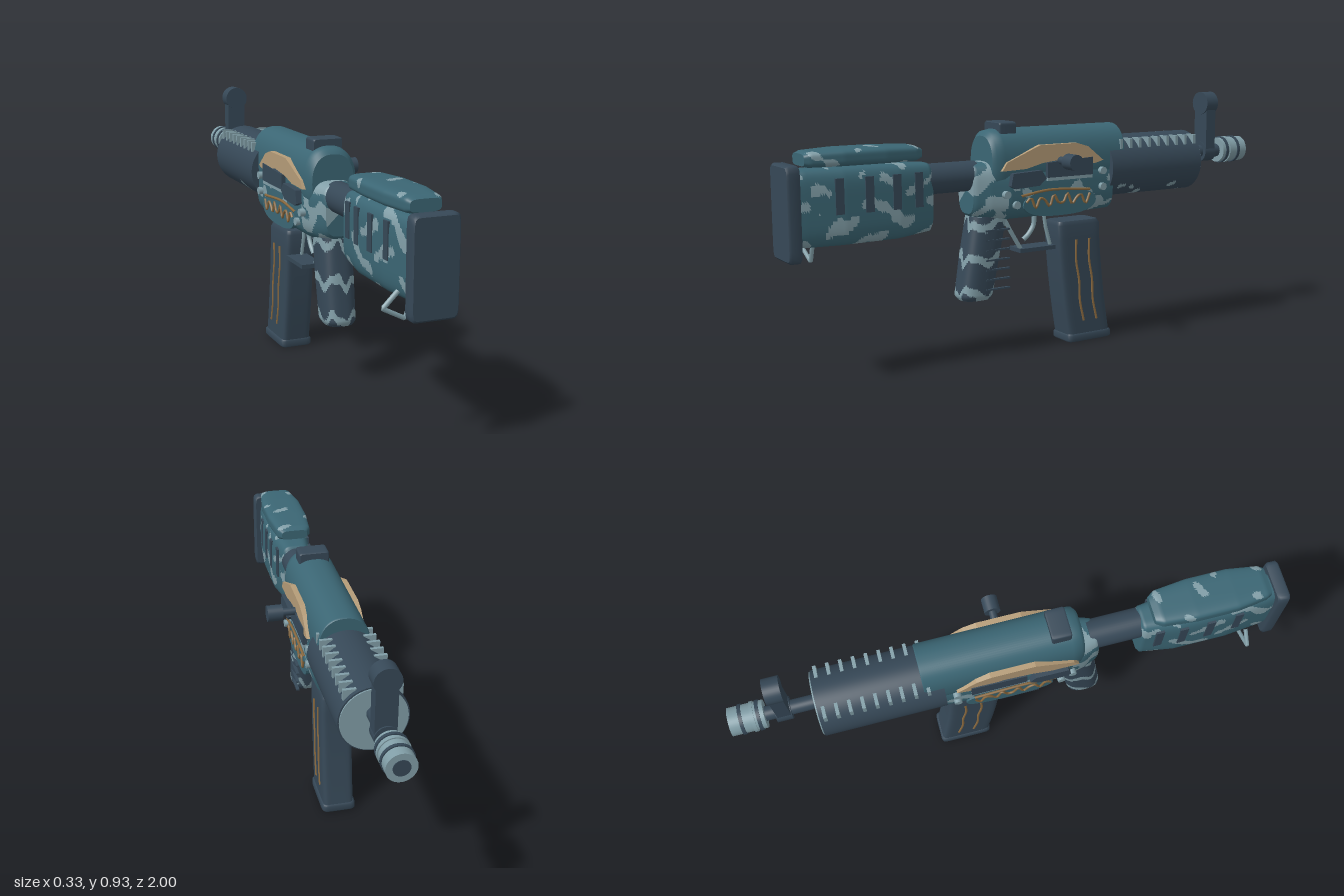
import * as THREE from 'three';

const CX = -0.043; // centre line of the body
const make = (name, color) => {
  const m = new THREE.MeshStandardMaterial({ color });
  m.name = name;
  return m;
};

export function createModel() {
  const teal = make('teal', 0x3b6674);
  const slate = make('slate', 0x364857);
  const pale = make('pale blue grey', 0x819ea7);
  const tan = make('tan', 0xb59c78);
  const bronze = make('bronze', 0x8a6a40);
  const root = new THREE.Group();

  const add = (name, geo, mat, x = 0, y = 0, z = 0) => {
    const m = new THREE.Mesh(geo, mat);
    m.name = name;
    m.position.set(x, y, z);
    root.add(m);
    return m;
  };
  const box = (name, mat, x0, x1, y0, y1, z0, z1) =>
    add(name, new THREE.BoxGeometry(x1 - x0, y1 - y0, z1 - z0), mat, (x0 + x1) / 2, (y0 + y1) / 2, (z0 + z1) / 2);
  const rod = (name, mat, r, y, z0, z1, x = CX) =>
    add(name, new THREE.CylinderGeometry(r, r, z1 - z0, 40).rotateX(Math.PI / 2), mat, x, y, (z0 + z1) / 2);
  const tube = (name, mat, pts, r, smooth = false) => {
    const v = pts.map((p) => new THREE.Vector3(...p));
    const path = new THREE.CurvePath();
    if (!smooth) for (let i = 1; i < v.length; i++) path.add(new THREE.LineCurve3(v[i - 1], v[i]));
    return add(name, new THREE.TubeGeometry(smooth ? new THREE.CatmullRomCurve3(v) : path, 48, r, 6), mat);
  };

  // Rounded body through sections [t, centreA, centreB, halfA, halfB]; camo(x, y, z) picks the second colour
  function loft(name, mats, secs, n, axis = 'z', camo = null) {
    const seg = 80, pos = [], groups = [[], []], rings = [];
    for (let k = 0; k + 1 < secs.length; k++) {
      const len = secs[k + 1][0] - secs[k][0], steps = camo ? Math.max(1, Math.ceil(len / 0.008)) : 1;
      for (let i = k ? 1 : 0; i <= steps; i++) rings.push(secs[k].map((v, q) => v + (secs[k + 1][q] - v) * i / steps));
    }
    const put = (t, a, b) => { pos.push(...(axis === 'z' ? [a, b, t] : [a, t, b])); return pos.length / 3 - 1; };
    const ring = ([t, a, b, ha, hb]) => {
      const start = pos.length / 3;
      for (let j = 0; j < seg; j++) {
        const c = Math.cos(j / seg * 2 * Math.PI), s = Math.sin(j / seg * 2 * Math.PI);
        const r = (Math.abs(c) ** n + Math.abs(s) ** n) ** (-1 / n);
        put(t, a + ha * c * r, b + hb * s * r);
      }
      return start;
    };
    const tri = (a, b, c) => {
      const mid = [0, 1, 2].map((q) => (pos[a * 3 + q] + pos[b * 3 + q] + pos[c * 3 + q]) / 3);
      groups[camo && camo(...mid) ? 1 : 0].push(...(axis === 'z' ? [a, b, c] : [a, c, b]));
    };
    const starts = rings.map(ring);
    for (let i = 0; i + 1 < starts.length; i++) for (let j = 0; j < seg; j++) {
      const k = (j + 1) % seg, a = starts[i], d = starts[i + 1];
      tri(a + j, a + k, d + k);
      tri(a + j, d + k, d + j);
    }
    [rings[0], rings[rings.length - 1]].forEach((s, end) => {
      const st = ring(s), c = put(s[0], s[1], s[2]);
      for (let j = 0; j < seg; j++) {
        const k = (j + 1) % seg;
        tri(c, st + (end ? j : k), st + (end ? k : j));
      }
    });
    const g = new THREE.BufferGeometry();
    g.setAttribute('position', new THREE.Float32BufferAttribute(pos, 3));
    g.setIndex([...groups[0], ...groups[1]]);
    g.addGroup(0, groups[0].length, 0);
    if (groups[1].length) g.addGroup(groups[0].length, groups[1].length, 1);
    g.computeVertexNormals();
    return add(name, g, mats);
  }

  // Flat plate from [z, y] outline; side +1 / -1 mirrors it about the centre line
  const plate = (name, mat, pts, side, x0, x1) => {
    const shape = new THREE.Shape(pts.map(([z, y]) => new THREE.Vector2(-z, y)));
    const g = new THREE.ExtrudeGeometry(shape, { depth: x1 - x0, bevelEnabled: false }).rotateY(Math.PI / 2);
    return add(name, g, mat, side > 0 ? x0 : 2 * CX - x1);
  };

  // Camouflage rules
  const blotch = (level) => (x, y, z) =>
    Math.sin(z * 31 + 2 * Math.sin(y * 37 + x * 9)) + Math.sin(y * 58 + 2.2 * Math.sin(z * 24 + x * 20))
    + 0.5 * Math.sin(z * 90 + y * 60) > level;
  const bands = (x, y, z) => Math.sin(y * 48 + 0.9 * Math.sin(z * 50 + x * 75) + 0.4 * Math.sin(x * 160) + 2.6) > 0.72;

  // Shoulder stock
  loft('buttPad', [slate], [[0.955, -0.045, 0.59, 0.074, 0.153], [0.962, -0.045, 0.59, 0.08, 0.16],
    [0.992, -0.045, 0.59, 0.08, 0.16], [1, -0.045, 0.59, 0.074, 0.153]], 14);
  loft('stockBody', [teal, pale], [[0.465, -0.047, 0.605, 0.05, 0.105], [0.475, -0.047, 0.605, 0.058, 0.12],
    [0.6, -0.047, 0.602, 0.076, 0.13], [0.8, -0.047, 0.602, 0.076, 0.132],
    [0.93, -0.047, 0.602, 0.062, 0.13], [0.96, -0.047, 0.602, 0.058, 0.125]], 4.5, 'z', blotch(0.85));
  loft('cheekRest', [teal, pale], [[0.505, -0.047, 0.762, 0.05, 0.018], [0.53, -0.047, 0.763, 0.066, 0.027],
    [0.65, -0.047, 0.765, 0.078, 0.03], [0.8, -0.047, 0.765, 0.078, 0.03], [0.91, -0.047, 0.763, 0.062, 0.027],
    [0.93, -0.047, 0.762, 0.052, 0.02]], 4, 'z', blotch(1.45));
  for (const s of [-1, 1]) for (const [z, w] of [[0.82, 0.072], [0.715, 0.076], [0.614, 0.075], [0.528, 0.066]])
    box('stockSlot', slate, -0.047 + s * w - 0.004, -0.047 + s * w + 0.004, 0.58, 0.7, z - 0.015, z + 0.015);
  tube('slingLoop', pale, [[-0.11, 0.5, 0.885], [-0.16, 0.45, 0.885], [-0.085, 0.412, 0.885], [-0.06, 0.48, 0.885]], 0.008);
  rod('stockTube', slate, 0.054, 0.665, 0.28, 0.48);

  // Receiver and rounded top cover
  loft('receiver', [teal, pale], [[-0.275, CX, 0.61, 0.092, 0.105], [-0.1, CX, 0.61, 0.097, 0.11], [0.18, CX, 0.61, 0.097, 0.11],
    [0.25, CX, 0.61, 0.08, 0.105], [0.3, CX, 0.615, 0.062, 0.095], [0.31, CX, 0.615, 0.054, 0.085]], 3.2, 'z',
  (x, y, z) => blotch(z > 0.19 ? 0.1 : 1.1)(x, y, z));
  loft('topCover', [teal], [[-0.33, CX, 0.705, 0.09, 0.12], [-0.325, CX, 0.705, 0.093, 0.124],
    [0.2, CX, 0.705, 0.095, 0.124], [0.232, CX, 0.705, 0.09, 0.118], [0.245, CX, 0.705, 0.078, 0.1]], 2.4);
  loft('rearSight', [slate], [[0.13, CX, 0.828, 0.052, 0.023], [0.136, CX, 0.828, 0.056, 0.027],
    [0.194, CX, 0.828, 0.056, 0.027], [0.2, CX, 0.828, 0.052, 0.023]], 10);

  // Side fittings on both sides
  const shield = [[0.22, 0.685], [0.2, 0.715], [0.1, 0.755], [0.06, 0.77], [-0.1, 0.77], [-0.15, 0.755],
    [-0.22, 0.7], [-0.18, 0.69], [-0.05, 0.715], [0.05, 0.705], [0.12, 0.688]];
  const oval = Array.from({ length: 28 }, (_, i) => {
    const a = i / 28 * 2 * Math.PI;
    return [-0.03 + 0.16 * Math.sign(Math.cos(a)) * Math.abs(Math.cos(a)) ** 0.7, 0.555 + 0.048 * Math.sin(a)];
  });
  for (const s of [-1, 1]) {
    const X = (d) => CX + s * d;
    plate('sideShield', tan, shield, s, 0.035, 0.062);
    plate('ovalPanel', teal, oval, s, 0.035, 0.058);
    plate('boltPlate', slate, [[0.03, 0.65], [0.03, 0.705], [-0.17, 0.715], [-0.17, 0.65]], s, 0.04, 0.066);
    plate('selectorPlate', slate, [[0.19, 0.63], [0.18, 0.675], [0.06, 0.68], [0.04, 0.65], [0.07, 0.625], [0.17, 0.62]], s, 0.035, 0.072);
    plate('boltEdge', pale, [[0.03, 0.638], [0.03, 0.65], [-0.17, 0.65], [-0.17, 0.638]], s, 0.04, 0.064);
    tube('filigree', bronze, Array.from({ length: 15 }, (_, i) =>
      [X(0.103), 0.565 + 0.022 * Math.sin(i * 2.3), 0.12 - i * 0.02]), 0.005, true);
    tube('filigreeStem', bronze, [[X(0.101), 0.59, 0.14], [X(0.102), 0.605, 0.02], [X(0.102), 0.595, -0.16]], 0.005, true);
    for (const [z, y] of [[0.2, 0.6], [0.16, 0.56], [-0.22, 0.6], [-0.22, 0.66]])
      add('pin', new THREE.CylinderGeometry(0.014, 0.014, 0.03, 16).rotateZ(Math.PI / 2), pale, X(0.094), y, z);
  }
  const across = (name, r, x0, x1) =>
    add(name, new THREE.CylinderGeometry(r, r, x1 - x0, 28).rotateZ(Math.PI / 2), slate, (x0 + x1) / 2, 0.71, -0.027);
  across('chargingStem', 0.014, 0.04, 0.12);
  across('chargingKnob', 0.029, 0.11, 0.165);

  // Handguard with ribbed top
  const guard = [[-0.695, -0.047, 0.665, 0.117, 0.117], [-0.26, -0.047, 0.665, 0.117, 0.117]];
  loft('handguard', [slate, pale], guard, 2, 'z', (x, y, z) => y < 0.6 && blotch(1.5)(x, y, z));
  rod('handguardFace', pale, 0.112, 0.665, -0.7, -0.694, -0.047);
  for (const s of [-1, 1]) for (let i = 0; i < 9; i++)
    box('handguardRib', pale, -0.047 + s * 0.075 - 0.022, -0.047 + s * 0.075 + 0.022, 0.735, 0.772, -0.68 + i * 0.045, -0.668 + i * 0.045);

  // Barrel, muzzle and front sight
  rod('barrel', slate, 0.026, 0.69, -0.89, -0.69, -0.047);
  rod('muzzle', pale, 0.05, 0.692, -0.998, -0.875, -0.047);
  rod('muzzleBore', slate, 0.028, 0.692, -1, -0.99, -0.047);
  for (const z of [-0.895, -0.915, -0.955]) rod('muzzleBand', z === -0.915 ? pale : slate, 0.054, 0.692, z - 0.006, z + 0.006, -0.047);
  rod('sightCollar', slate, 0.04, 0.69, -0.84, -0.785, -0.047);
  box('sightPost', slate, -0.081, -0.009, 0.69, 0.87, -0.835, -0.788);
  rod('sightHead', slate, 0.045, 0.886, -0.84, -0.783, -0.045);

  // Curved magazine with stripes
  const magZ = (y) => -0.15 - 0.05 * ((0.47 - y) / 0.45) ** 1.6;
  const magSecs = [0.02, 0.1, 0.18, 0.26, 0.34, 0.4, 0.455].map((y) => [y, CX, magZ(y), 0.057, 0.095]);
  loft('magazine', [slate], [...magSecs, [0.47, CX, magZ(0.47), 0.05, 0.087]], 9, 'y');
  loft('magazineBase', [slate], [[0, CX, -0.2, 0.058, 0.096], [0.006, CX, -0.2, 0.063, 0.1],
    [0.024, CX, -0.2, 0.063, 0.1], [0.03, CX, -0.2, 0.058, 0.096]], 10, 'y');
  for (const s of [-1, 1]) for (const d of [0.025, -0.035])
    tube('magazineStripe', bronze, [0.4, 0.32, 0.24, 0.16, 0.08].map((y, i) =>
      [CX + s * 0.057, y, magZ(y) + d + (i % 2 ? 0.003 : -0.003)]), 0.005, true);

  // Grip with ribs
  loft('grip', [slate, pale], [[0.215, CX, 0.285, 0.05, 0.056], [0.23, CX, 0.284, 0.059, 0.066],
    [0.38, CX, 0.257, 0.062, 0.07], [0.52, CX, 0.228, 0.058, 0.074]], 2.8, 'y', bands);
  for (let i = 0; i < 7; i++) box('gripRib', slate, 0.008, 0.02, 0.25 + i * 0.036, 0.256 + i * 0.036, 0.165, 0.265);

  // Trigger and its guard
  tube('guardFront', pale, [[CX, 0.51, 0.16], [CX, 0.44, 0.12], [CX, 0.375, 0.08]], 0.008);
  box('guardBar', slate, -0.1, -0.02, 0.365, 0.38, -0.06, 0.095);
  tube('trigger', pale, [[CX, 0.51, 0.02], [CX, 0.46, 0.025], [CX, 0.425, 0.05], [CX, 0.41, 0.07]], 0.009, true);
  tube('magazineCatch', pale, [[CX, 0.51, -0.02], [CX, 0.45, -0.03], [CX, 0.38, -0.05]], 0.007);
  return root;
}
